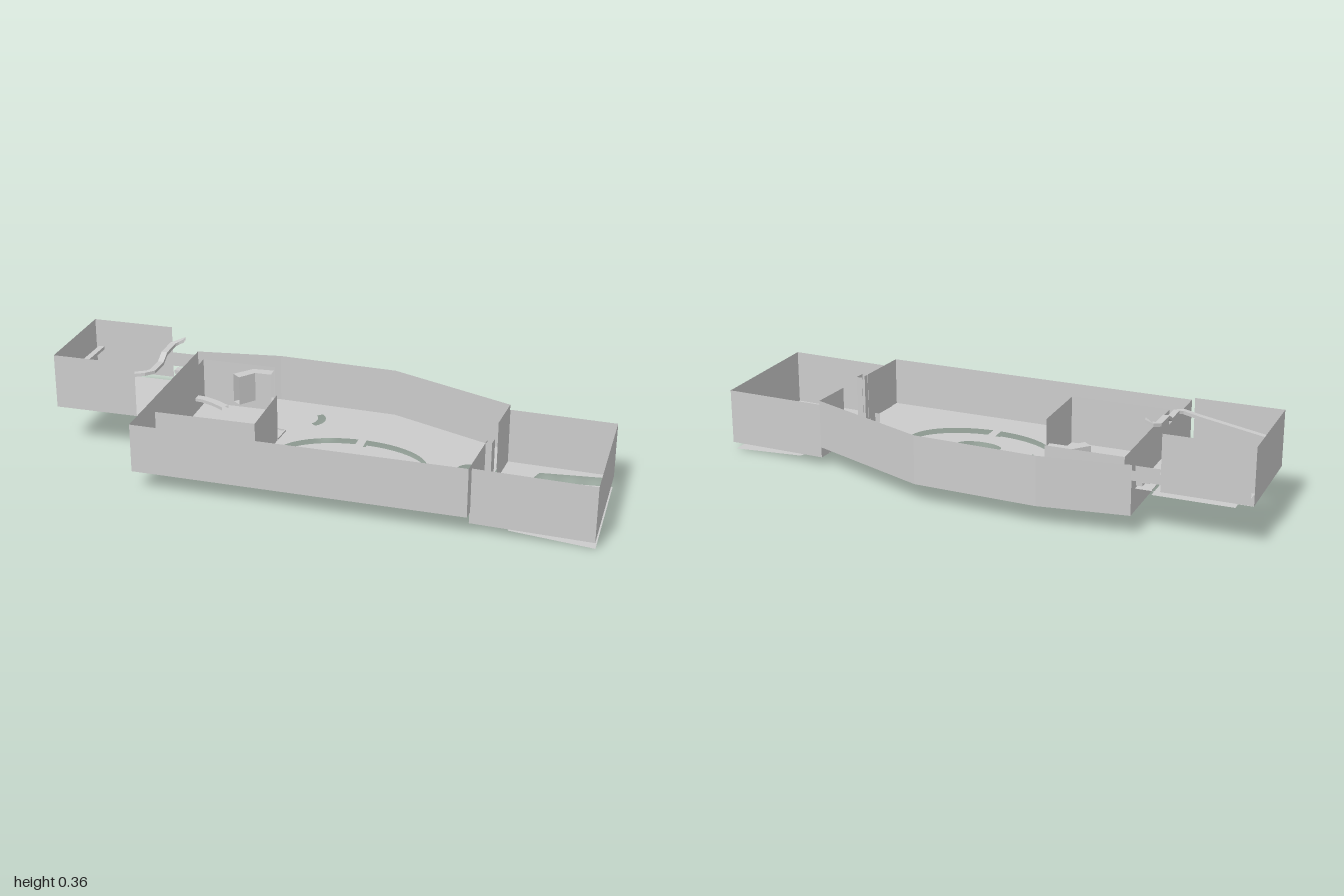
import * as THREE from 'three';

const material = new THREE.MeshStandardMaterial({ color: 0xcccccc, side: THREE.DoubleSide, flatShading: true });

export function createModel() {
  const model = new THREE.Group();

  function add(name, geometry) {
    const mesh = new THREE.Mesh(geometry, material);
    mesh.name = name;
    model.add(mesh);
  }

  // joins equal-length cross-sections into a surface
  function loft(name, sections, closedRing) {
    const n = sections[0].length;
    const index = [];
    for (let i = 0; i < sections.length - 1; i++) {
      for (let j = 0; j < (closedRing ? n : n - 1); j++) {
        const a = i * n + j, b = i * n + (j + 1) % n;
        index.push(a, a + n, b, b, a + n, b + n);
      }
    }
    const g = new THREE.BufferGeometry();
    g.setAttribute('position', new THREE.Float32BufferAttribute(sections.flat(2), 3));
    g.setIndex(index);
    g.computeVertexNormals();
    add(name, g);
  }

  // thin upright wall along [x, z] points
  const wall = (name, pts, y0, y1) => loft(name, pts.map(([x, z]) => [[x, y0, z], [x, y1, z]]), false);

  // horizontal sheet from [x, z] outlines
  const vec = (pts) => pts.map(([x, z]) => new THREE.Vector2(x, z));
  function floor(name, outline, y, holes = []) {
    const shape = new THREE.Shape(vec(outline));
    holes.forEach((h) => shape.holes.push(new THREE.Path(vec(h))));
    add(name, new THREE.ShapeGeometry(shape).rotateX(Math.PI / 2).translate(0, y, 0));
  }

  // rail of rectangular section along [x, y, z] points
  function rail(name, pts, width, height) {
    const sections = pts.map(([x, y, z], i) => {
      const p = pts[Math.max(i - 1, 0)], q = pts[Math.min(i + 1, pts.length - 1)];
      const dx = q[0] - p[0], dz = q[2] - p[2], l = Math.hypot(dx, dz);
      const ox = (-dz / l) * width / 2, oz = (dx / l) * width / 2;
      return [[x - ox, y, z - oz], [x + ox, y, z + oz], [x + ox, y + height, z + oz], [x - ox, y + height, z - oz]];
    });
    loft(name, sections, true);
  }

  // points on an elliptical arc
  function arc(cx, cz, rx, rz, from = 0, to = Math.PI * 2, n = 40) {
    return Array.from({ length: n + 1 }, (_, i) => {
      const a = from + (to - from) * i / n;
      return [cx + rx * Math.cos(a), cz + rz * Math.sin(a)];
    });
  }
  const disc = (...args) => arc(...args).slice(0, -1);
  const rect = (x0, x1, z0, z1) => [[x0, z0], [x1, z0], [x1, z1], [x0, z1]];

  // main hall: floor with sunken oval pieces
  const hall = [[-0.605, -0.335], [-0.29, -0.378], [0.16, -0.358], [0.62, -0.17], [0.58, 0.37], [-0.605, 0.352]];
  const halfRing = (mid) => {
    const s = Math.PI / 2 - 0.055, t = Math.PI / 2 - 0.075;
    return [...arc(0.1, 0.06, 0.275, 0.172, mid - s, mid + s), ...arc(0.1, 0.06, 0.21, 0.117, mid + t, mid - t)];
  };
  const ovals = [halfRing(0), halfRing(Math.PI), disc(0.1, 0.06, 0.085, 0.043)];
  const well = disc(0.52, 0.025, 0.047, 0.047, 0, Math.PI * 2, 24);
  const slot = [...arc(-0.145, -0.235, 0.07, 0.07, -0.85, 0.85, 10), ...arc(-0.145, -0.235, 0.04, 0.05, 0.8, -0.8, 10)];
  floor('hallFloor', hall, 0.074, [...ovals, well, slot, rect(0.465, 0.478, 0.038, 0.06)]);
  [...ovals, well].forEach((o) => floor('sunkenFloor', o, 0.054));

  // hall walls, with a doorway on the right
  wall('hallWall', [[0.608, -0.01], hall[3], hall[2], hall[1], hall[0], hall[5], hall[4], [0.597, 0.14]], 0.074, 0.252);
  wall('doorFrame', [[0.597, 0.12], [0.62, 0.12], [0.617, 0.16], [0.594, 0.16]], 0.074, 0.252);
  wall('doorPost', [[0.54, 0.145], [0.56, 0.145], [0.56, 0.105]], 0.074, 0.11);

  // inner chamber of the hall
  wall('chamberWall', [[-0.195, -0.03], [-0.195, 0.225], [-0.56, 0.225], [-0.56, -0.272], [-0.28, -0.272]], 0.074, 0.25);
  const alcove = arc(-0.19, -0.22, 0.09, 0.11, Math.PI, Math.PI / 2, 8);
  rail('chamberSill', [...alcove, [-0.195, -0.03]].map(([x, z]) => [x, 0.074, z]), 0.004, 0.006);
  rail('foldedScreen', [[-0.4, 0.13, -0.18], [-0.35, 0.13, -0.24], [-0.28, 0.13, -0.243]], 0.04, 0.11);
  rail('chamberWalkway', [[-0.6, 0.12, -0.195], [-0.53, 0.12, -0.185], [-0.48, 0.12, -0.165], [-0.43, 0.12, -0.135]], 0.03, 0.012);

  // right room with a lowered floor panel
  const side = [[0.622, -0.165], [1, -0.15], [1, 0.352], [0.58, 0.33]];
  const panel = [[0.745, -0.105], [1, -0.13], [1, 0.33], [0.705, 0.285], [0.685, 0.08]];
  const surround = [side[0], side[1], panel[1], panel[0], panel[4], panel[3], panel[2], side[2], side[3]];
  floor('sideRoomFloor', surround, 0.033);
  floor('sideRoomLowerFloor', panel, 0);
  wall('sideRoomWall', [[0.61, -0.01], ...side, [0.597, 0.14]], 0.033, 0.235);

  // left room, open toward the hall
  const pit = rect(-0.94, -0.66, -0.292, 0.015);
  floor('raisedRoomFloor', rect(-1, -0.605, -0.295, 0.082), 0.155, [pit]);
  floor('raisedRoomPit', pit, 0.14);
  wall('raisedRoomWall', [[-0.69, 0.082], [-1, 0.082], [-1, -0.293], [-0.69, -0.293]], 0.155, 0.357);

  // passage behind the left room
  floor('passageFloor', rect(-1, -0.605, -0.34, -0.295), 0.2);
  wall('passageWall', [[-1, -0.34], [-0.605, -0.34]], 0.2, 0.235);
  wall('passageInnerWall', [[-0.69, -0.295], [-0.605, -0.295]], 0.2, 0.235);

  // ramp climbing around the left room
  rail('ramp', [
    [-0.977, 0.24, -0.285], [-0.977, 0.245, -0.08], [-0.977, 0.25, 0.03], [-0.96, 0.252, 0.052],
    [-0.72, 0.295, 0.052], [-0.66, 0.308, 0.052], [-0.64, 0.31, 0.035], [-0.64, 0.31, -0.045],
    [-0.64, 0.332, -0.085], [-0.64, 0.334, -0.17], [-0.625, 0.338, -0.187], [-0.6, 0.35, -0.19],
  ], 0.022, 0.012);

  // small steps from the left room to the hall
  for (let i = 0; i < 3; i++) {
    add('step', new THREE.BoxGeometry(0.022, 0.015, 0.03).translate(-0.66 + i * 0.022, 0.193 - i * 0.012, -0.27));
  }
  return model;
}
